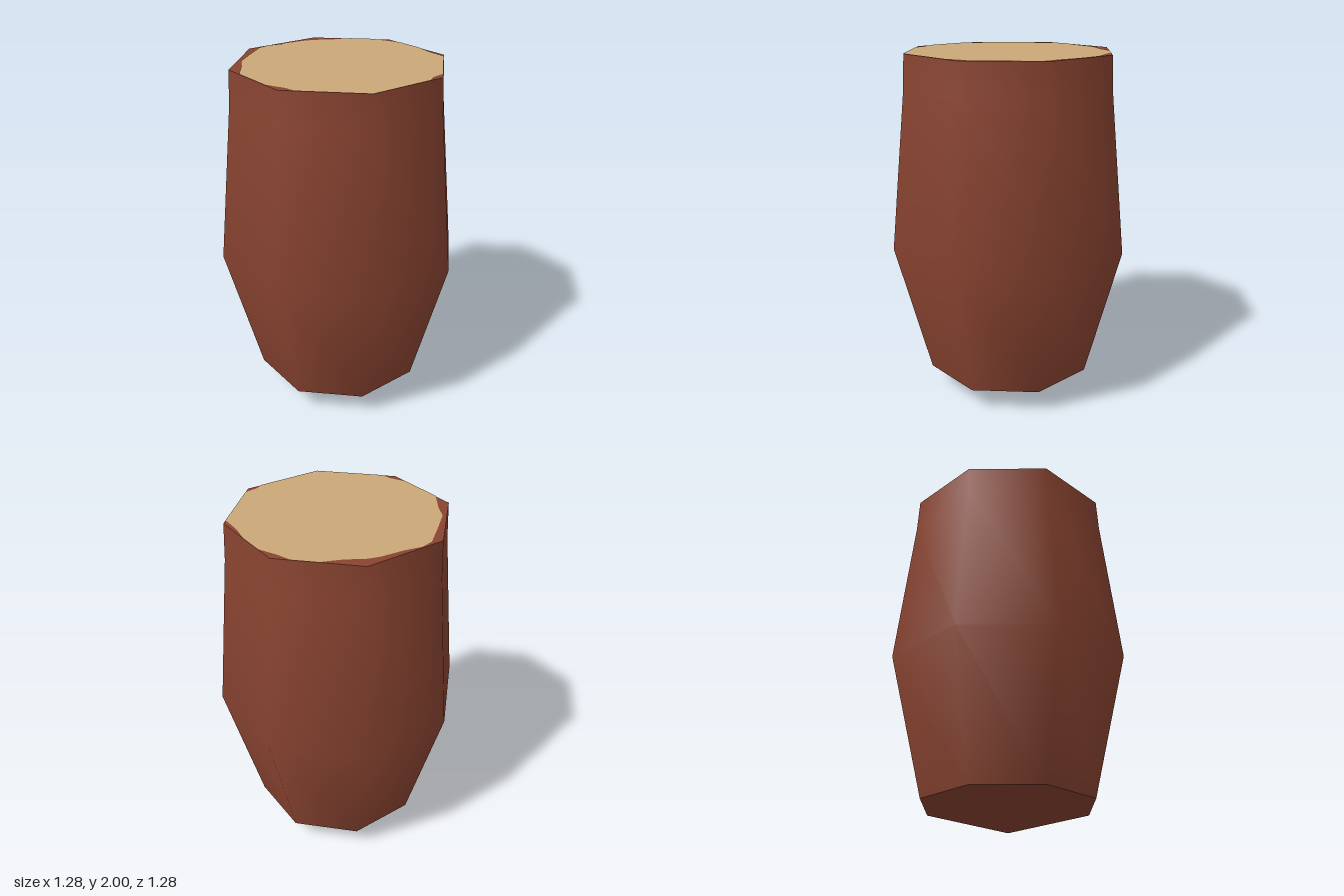
import * as THREE from 'three';

const SIDES = 8;
const CORNER = 1 / Math.cos(Math.PI / SIDES); // flat-to-flat radius -> corner radius

// Eight-sided solid of revolution with flats facing the axes; rows are [flat radius, height]
function octagonal(rows) {
  const profile = rows.map(([r, y]) => new THREE.Vector2(r * CORNER, y));
  return new THREE.LatheGeometry(profile, SIDES, Math.PI / SIDES);
}

export function createModel() {
  const group = new THREE.Group();
  group.name = 'barrel';

  const wood = new THREE.MeshStandardMaterial({ color: 0x8a4431 });
  wood.name = 'reddish brown wood';
  const filling = new THREE.MeshStandardMaterial({ color: 0xcba877 });
  filling.name = 'tan filling';

  const add = (name, geometry, material) => {
    const mesh = new THREE.Mesh(geometry, material);
    mesh.name = name;
    group.add(mesh);
  };

  // Bulging side wall, smooth around and along
  add('wall', octagonal([[0.458, 0.14], [0.642, 0.92], [0.555, 1.8], [0.545, 1.998]]), wood);

  // Shallow pointed underside
  add('base', octagonal([[0, 0], [0.458, 0.14]]), wood);

  // Flat brown lid under the filling
  const lid = new THREE.CircleGeometry(0.545 * CORNER, SIDES, Math.PI / SIDES);
  lid.rotateX(-Math.PI / 2).translate(0, 1.998, 0);
  add('lid', lid, wood);

  // Tan filling with an uneven edge, outlined as [x, z]
  const outline = [
    [-0.10, -0.54], [-0.01, -0.52], [0.12, -0.507], [0.18, -0.49], [0.28, -0.43],
    [0.38, -0.39], [0.476, -0.295], [0.50, -0.22], [0.545, -0.12], [0.545, 0.02],
    [0.525, 0.13], [0.52, 0.25], [0.265, 0.505], [0.19, 0.517], [0.14, 0.545],
    [-0.226, 0.545], [-0.49, 0.28], [-0.50, 0.22], [-0.545, 0.12], [-0.545, -0.12],
    [-0.46, -0.24], [-0.41, -0.33], [-0.29, -0.43], [-0.17, -0.525],
  ];
  const shape = new THREE.Shape(outline.map(([x, z]) => new THREE.Vector2(x, -z)));
  const top = new THREE.ShapeGeometry(shape);
  top.rotateX(-Math.PI / 2).translate(0, 2, 0);
  add('filling', top, filling);

  return group;
}
